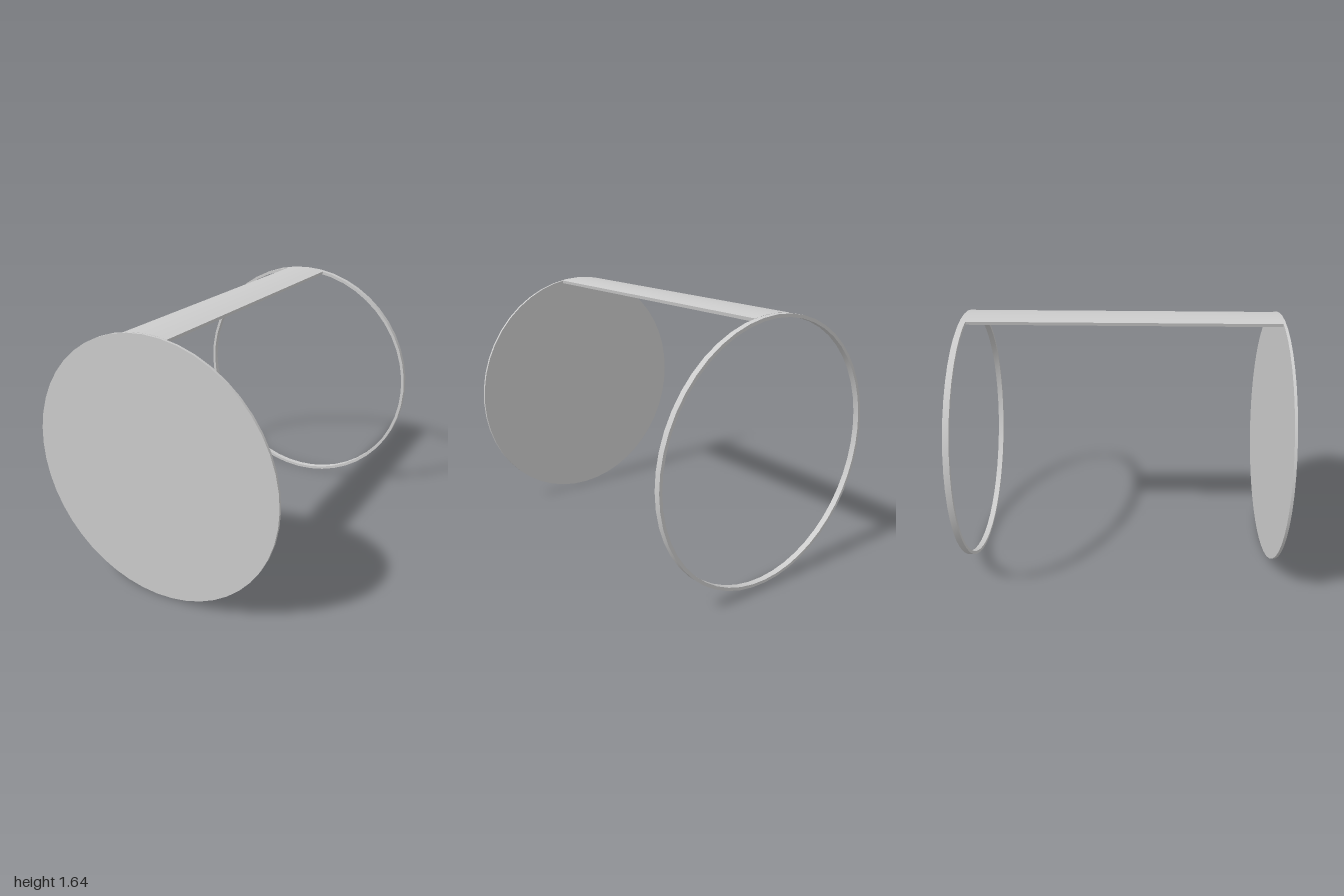
import * as THREE from 'three';
import { toCreasedNormals } from 'three/addons/utils/BufferGeometryUtils.js';

const R = 0.82;       // outer radius
const INNER = 0.8;    // inner radius of ring and bridge
const HALF = 0.172;   // half angle covered by the bridge

export function createModel() {
  const group = new THREE.Group();
  const material = new THREE.MeshStandardMaterial({ color: 0xcccccc });

  // extrude a shape along z between two depths, centred on the wheel axis
  function slab(name, shape, z0, z1, curveSegments) {
    const flat = new THREE.ExtrudeGeometry(shape, { depth: z1 - z0, bevelEnabled: false, curveSegments });
    const mesh = new THREE.Mesh(toCreasedNormals(flat, 0.6), material);
    mesh.name = name;
    mesh.position.set(0, R, z0);
    group.add(mesh);
  }

  // solid front disc
  const disc = new THREE.Shape().absarc(0, 0, R, 0, Math.PI * 2, false);
  slab('frontDisc', disc, 0.983, 1, 24);

  // open back ring
  const ring = new THREE.Shape().absarc(0, 0, R, 0, Math.PI * 2, false);
  ring.holes.push(new THREE.Path().absarc(0, 0, INNER, 0, Math.PI * 2, true));
  slab('backRing', ring, -1, -0.963, 24);

  // curved strip along the top joining disc and ring
  const top = Math.PI / 2;
  const bridge = new THREE.Shape();
  bridge.absarc(0, 0, R, top - HALF, top + HALF, false);
  bridge.absarc(0, 0, INNER, top + HALF, top - HALF, true);
  bridge.closePath();
  slab('topBridge', bridge, -0.963, 0.983, 3);

  return group;
}
